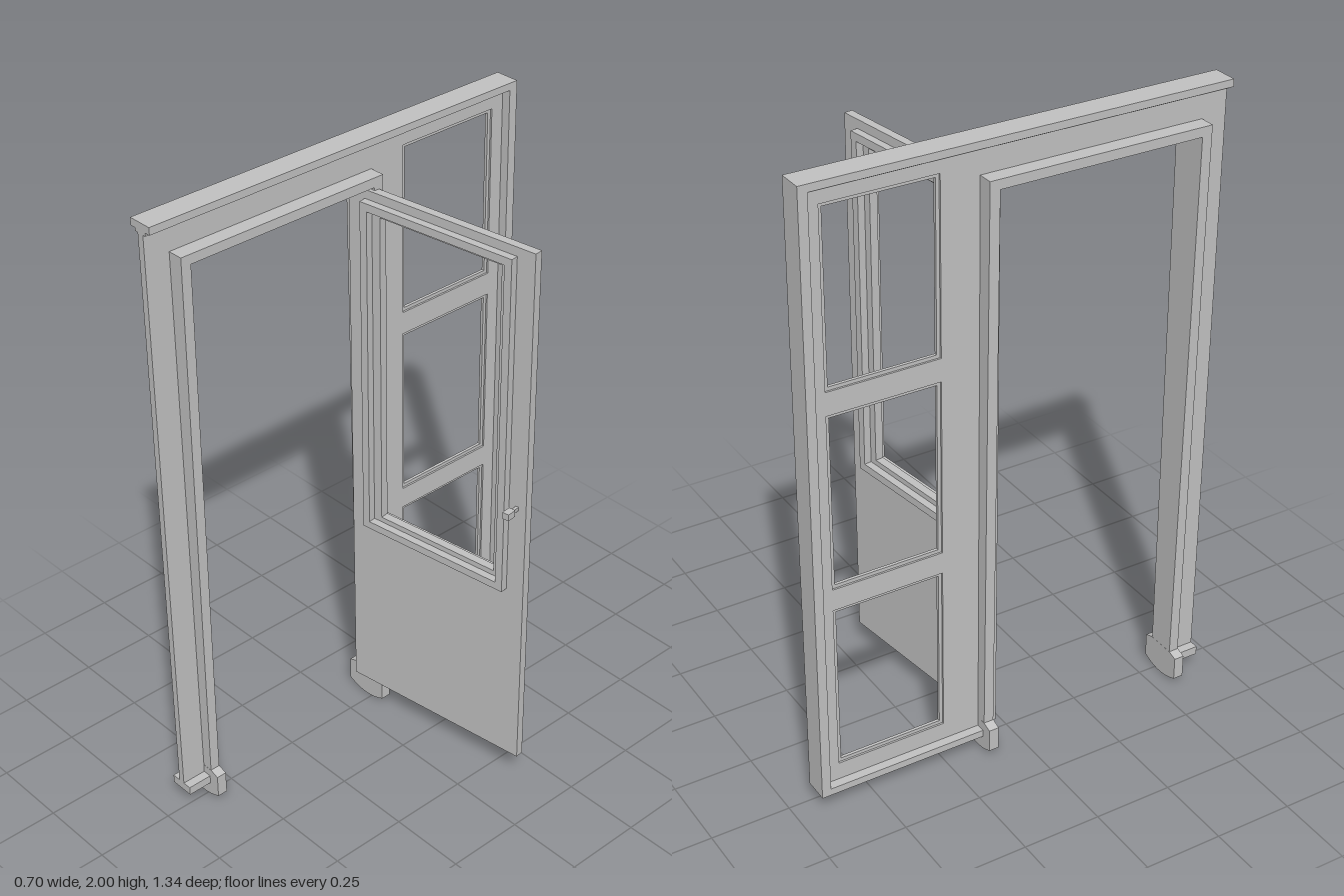
import * as THREE from 'three';

const gray = new THREE.MeshStandardMaterial({ color: 0xc0c0c0 });
gray.name = 'light gray';
const WALL_X = -0.275;

function add(parent, name, geometry) {
  const mesh = new THREE.Mesh(geometry, gray);
  mesh.name = name;
  parent.add(mesh);
  return mesh;
}

// box given by its limits
function block(parent, name, x0, x1, y0, y1, z0, z1) {
  const mesh = add(parent, name, new THREE.BoxGeometry(x1 - x0, y1 - y0, z1 - z0));
  mesh.position.set((x0 + x1) / 2, (y0 + y1) / 2, (z0 + z1) / 2);
  return mesh;
}

const points = (list) => list.map(([x, y]) => new THREE.Vector2(x, y));
const rect = (x0, x1, y0, y1) => points([[x0, y0], [x1, y0], [x1, y1], [x0, y1]]);

// flat plate with holes, thickness centred on z = 0
function plate(outline, holes, depth) {
  const shape = new THREE.Shape(outline);
  holes.forEach((hole) => shape.holes.push(new THREE.Path(hole)));
  return new THREE.ExtrudeGeometry(shape, { depth, bevelEnabled: false, curveSegments: 8 })
    .translate(0, 0, -depth / 2);
}

function buildWall() {
  const wall = new THREE.Group();
  wall.name = 'wallFrame';
  const rows = [[0.13, 0.675], [0.745, 1.305], [1.378, 1.923]];

  // web plate with the doorway notch and three window openings
  const outline = points([
    [-0.66, 0.06], [-0.11, 0.06], [-0.11, 1.875], [0.575, 1.875],
    [0.575, 0.06], [0.672, 0.06], [0.672, 1.99], [-0.66, 1.99],
  ]);
  const openings = rows.map(([a, b]) => rect(-0.6, -0.245, a, b));
  add(wall, 'webPanel', plate(outline, openings, 0.022).rotateY(-Math.PI / 2)).position.x = WALL_X;

  // thin lip inside each window opening
  rows.forEach(([a, b]) => {
    const lip = plate(rect(-0.6, -0.245, a, b), [rect(-0.589, -0.256, a + 0.011, b - 0.011)], 0.01);
    add(wall, 'windowLip', lip.rotateY(-Math.PI / 2)).position.x = WALL_X;
  });

  // flanges around the outer edge
  const a = WALL_X - 0.04, b = WALL_X + 0.04;
  block(wall, 'topFlange', a, b, 1.977, 2, -0.672, 0.672);
  block(wall, 'topFlangeStep', a + 0.018, b - 0.018, 1.967, 1.98, -0.65, 0.672);
  block(wall, 'backFlange', a, b, 0.05, 1.98, -0.672, -0.643);
  block(wall, 'bottomFlangeBack', a, b, 0.05, 0.073, -0.65, -0.11);
  block(wall, 'bottomFlangeFront', a, b, 0.05, 0.078, 0.58, 0.672);
  return wall;
}

function buildCasing() {
  const casing = new THREE.Group();
  casing.name = 'doorCasing';
  block(casing, 'header', WALL_X - 0.06, WALL_X + 0.06, 1.86, 1.89, -0.124, 0.592);

  // tapered jambs standing on curved feet
  const jamb = points([[-0.046, 0.08], [0.046, 0.08], [0.06, 1.89], [-0.06, 1.89]]);
  const foot = new THREE.Shape();
  foot.moveTo(-0.077, 0.02);
  foot.quadraticCurveTo(0, -0.018, 0.077, 0.02);
  foot.lineTo(0.077, 0.095);
  foot.lineTo(0.048, 0.105);
  foot.lineTo(-0.048, 0.105);
  foot.lineTo(-0.077, 0.095);
  [-0.108, 0.576].forEach((z) => {
    add(casing, 'jamb', plate(jamb, [], 0.032)).position.set(WALL_X, 0, z);
    add(casing, 'foot', plate(foot.getPoints(8), [], 0.033)).position.set(WALL_X, 0, z);
  });
  return casing;
}

function buildDoor() {
  const door = new THREE.Group();
  door.name = 'door';
  door.position.set(-0.3, 0, -0.07);
  door.rotation.y = 0.132;

  // slab with a glazing opening
  const slab = plate(rect(0, 0.656, 0.085, 1.85), [rect(0.114, 0.545, 0.752, 1.778)], 0.027);
  add(door, 'doorSlab', slab).position.z = -0.0135;

  // raised window mouldings on both faces
  [0.012, -0.039].forEach((z) => {
    const trim = plate(rect(0.06, 0.595, 0.71, 1.822), [rect(0.085, 0.57, 0.735, 1.797)], 0.024);
    add(door, 'doorWindowTrim', trim).position.z = z;
  });

  // handle: stem and knob
  block(door, 'handleStem', 0.619, 0.629, 1.006, 1.018, -0.002, 0.026);
  block(door, 'handleKnob', 0.613, 0.635, 1.001, 1.023, 0.024, 0.055);
  return door;
}

export function createModel() {
  const model = new THREE.Group();
  model.name = 'doorwayWithSideWindows';
  model.add(buildWall(), buildCasing(), buildDoor());
  return model;
}
